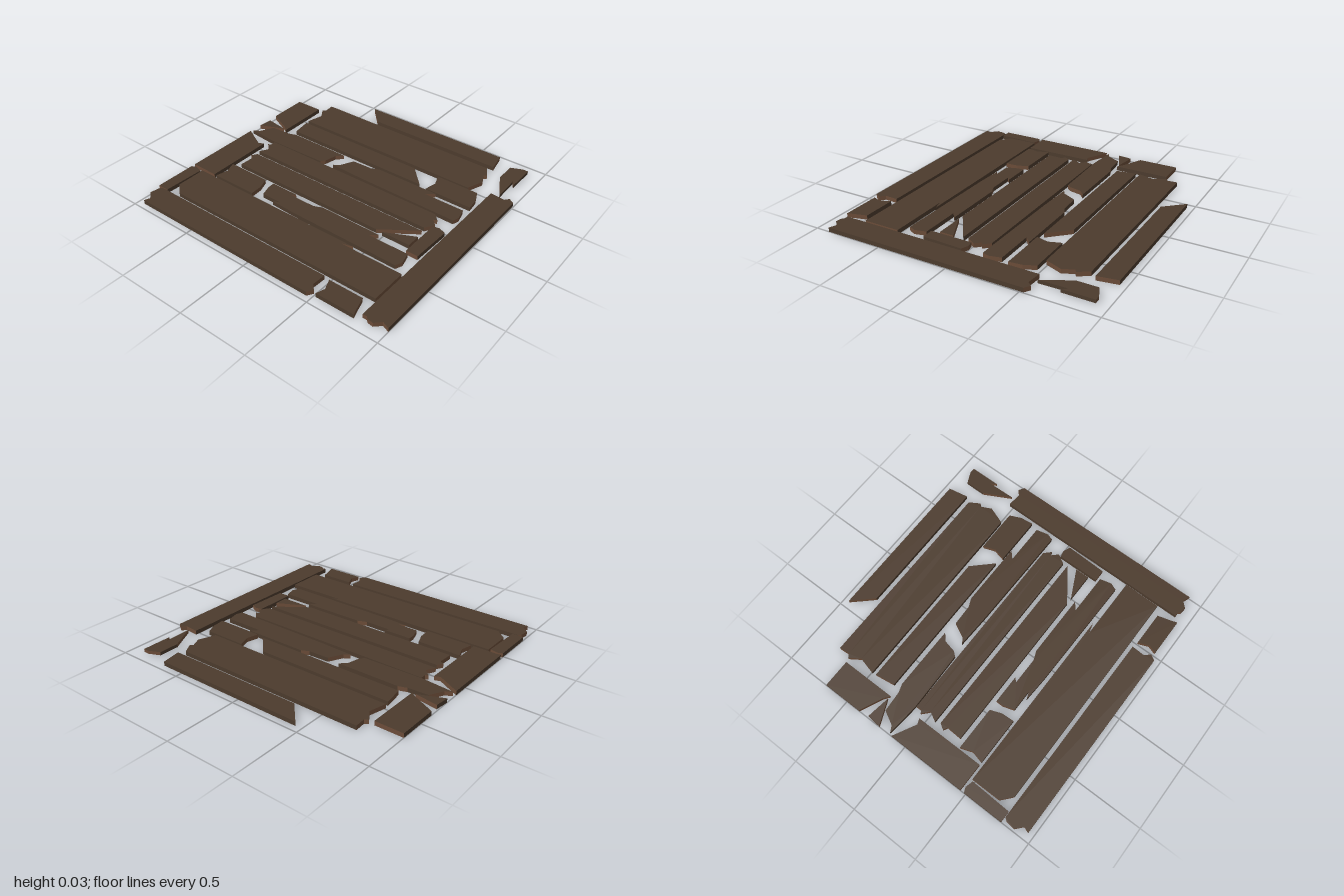
import * as THREE from 'three';

const wood = new THREE.MeshStandardMaterial({ color: 0x4c3b2d });
wood.name = 'dark wood';
const endGrain = new THREE.MeshStandardMaterial({ color: 0x6b4c38 });
endGrain.name = 'split end grain';

const THICKNESS = 0.03;

// A plank cut from an outline of x, z pairs. Faces running along the grain are
// dark wood; ends and splits across the grain show the lighter end grain.
function plank(name, grain, outline, bottom = 0, top = THICKNESS) {
  const points = [];
  for (let i = 0; i < outline.length; i += 2) {
    points.push(new THREE.Vector2(outline[i], -outline[i + 1]));
  }
  const geometry = new THREE.ExtrudeGeometry(new THREE.Shape(points), {
    depth: top - bottom, bevelEnabled: false,
  });
  geometry.rotateX(-Math.PI / 2);
  geometry.translate(0, bottom, 0);

  const normal = geometry.attributes.normal;
  geometry.clearGroups();
  for (let i = 0; i < normal.count; i += 3) {
    const along = Math.abs(grain === 'x' ? normal.getX(i) : normal.getZ(i));
    geometry.addGroup(i, 3, along > 0.1 ? 1 : 0);
  }
  const mesh = new THREE.Mesh(geometry, [wood, endGrain]);
  mesh.name = name;
  return mesh;
}

export function createModel() {
  const group = new THREE.Group();
  group.name = 'brokenPlankFloor';
  const add = (...args) => group.add(plank(...args));

  // Long boards, from right to left of the model
  add('outerRightBoard', 'z', [-0.96, -0.95, -0.92, -0.935, -0.875, -0.985, -0.81, -0.975, -0.79, -0.96,
    -0.79, 0.46, -0.885, 0.455, -0.92, 0.49, -0.96, 0.465]);
  add('outerRightStub', 'z', [-0.935, 0.515, -0.875, 0.535, -0.8, 0.505, -0.8, 0.75, -0.89, 0.775, -0.935, 0.79]);
  add('wideRightBoard', 'z', [-0.76, -0.825, -0.695, -0.9, -0.48, -0.9, -0.48, 0.435, -0.5, 0.36,
    -0.5, 0.81, -0.76, 0.81]);
  add('splitBoardStub', 'z', [-0.46, -0.78, -0.375, -0.76, -0.29, -0.79, -0.29, -0.475, -0.37, -0.445, -0.46, -0.44]);
  add('splitBoard', 'z', [-0.44, -0.27, -0.42, -0.22, -0.42, -0.375, -0.34, -0.4, -0.29, -0.4, -0.29, -0.195,
    -0.315, -0.22, -0.315, -0.025, -0.29, 0.04, -0.29, 0.49, -0.33, 0.44, -0.33, 0.735,
    -0.41, 0.755, -0.46, 0.735, -0.45, -0.08]);
  add('slantedBoard', 'z', [-0.255, -0.74, -0.145, -0.735, -0.13, -0.765, -0.09, -0.74, -0.09, 0.68, -0.255, 0.445]);
  add('slantedSplinter', 'z', [-0.255, 0.49, -0.155, 0.695, -0.255, 0.695]);
  add('middleBoard', 'z', [-0.055, -0.755, 0.01, -0.72, 0.055, -0.77, 0.065, -0.75, 0.105, -0.75,
    0.105, 0.655, 0.06, 0.7, 0.05, 0.675, 0.01, 0.715, -0.055, 0.675]);
  add('crackedBackBoard', 'z', [0.13, -0.99, 0.155, -0.945, 0.25, -0.895, 0.26, -0.75, 0.28, -0.69,
    0.28, -0.235, 0.24, -0.28, 0.15, -0.3, 0.12, -0.325, 0.11, -0.765]);
  add('crackedFrontBoard', 'z', [0.14, -0.225, 0.165, -0.185, 0.265, -0.135, 0.27, 0.015, 0.295, 0.07,
    0.295, 0.535, 0.25, 0.485, 0.25, 0.775, 0.165, 0.795, 0.12, 0.78, 0.13, 0.03]);
  add('narrowLeftBoard', 'z', [0.32, -0.725, 0.46, -0.745, 0.46, 0.255, 0.32, 0.39]);
  add('narrowLeftStub', 'z', [0.305, 0.45, 0.39, 0.47, 0.475, 0.44, 0.475, 0.75, 0.395, 0.785, 0.305, 0.795]);
  add('wideLeftBoard', 'z', [0.49, -0.75, 0.61, -0.72, 0.685, -0.77, 0.7, -0.745, 0.775, -0.75,
    0.775, 0.655, 0.7, 0.7, 0.685, 0.68, 0.61, 0.715, 0.49, 0.67]);
  add('outerLeftBoard', 'z', [0.815, -0.325, 0.955, -0.455, 0.955, 0.66, 0.815, 0.685]);

  // Cross boards along the front
  add('frontCrossBoard', 'x', [-0.9, 0.825, 0.53, 0.825, 0.52, 0.93, 0.55, 0.955, 0.525, 0.995,
    -0.9, 1, -0.88, 0.95, -0.92, 0.91, -0.915, 0.87, -0.9, 0.855]);
  add('frontStub', 'x', [-0.31, 0.71, -0.01, 0.71, 0, 0.755, -0.02, 0.805, -0.31, 0.795]);
  add('frontShard', 'x', [0.55, 0.88, 0.74, 0.78, 0.885, 0.78, 0.92, 0.86, 0.92, 0.9, 0.705, 0.9, 0.745, 0.875],
    0.005, 0.028);

  // Cross boards along the back
  add('backRightStub', 'x', [-0.785, -1, -0.49, -1, -0.475, -0.965, -0.49, -0.91, -0.785, -0.92]);
  add('backMiddleBoard', 'x', [-0.46, -1, 0.11, -1, 0.025, -0.84, 0.04, -0.8, -0.46, -0.8]);
  add('backShard', 'x', [0.215, -1, 0.315, -0.99, 0.29, -0.825]);
  add('backLeftBoard', 'x', [0.39, -1, 0.675, -1, 0.675, -0.8, 0.285, -0.8, 0.315, -0.84]);

  return group;
}
